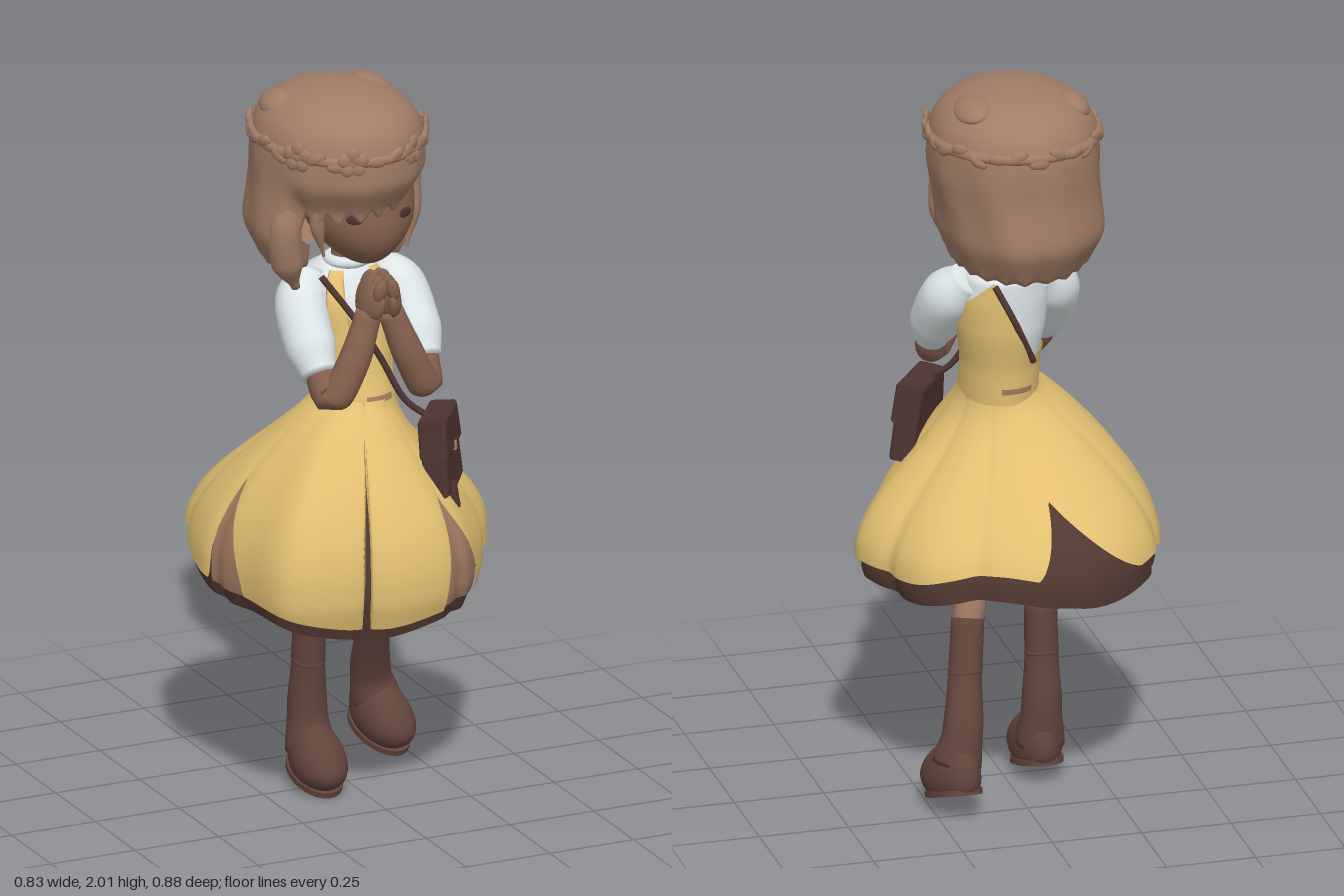
import * as THREE from 'three';

const mat = (name, color, side = THREE.FrontSide) =>
  Object.assign(new THREE.MeshStandardMaterial({ color, side }), { name });
const V = (x, y, z) => new THREE.Vector3(x, y, z);
const { clamp, lerp, smoothstep } = THREE.MathUtils;
const TAU = Math.PI * 2;

// Surface through rows of points; columns run counterclockwise, rows run upward
function grid(cols, rows, wrap, fn) {
  const pos = [], idx = [], n = wrap ? cols : cols + 1;
  for (let j = 0; j <= rows; j++)
    for (let i = 0; i < n; i++) pos.push(...fn(i / cols, j / rows).toArray());
  for (let j = 0; j < rows; j++)
    for (let i = 0; i < cols; i++) {
      const a = j * n + i, b = j * n + (i + 1) % n;
      idx.push(a, b, a + n, b, b + n, a + n);
    }
  const g = new THREE.BufferGeometry();
  g.setAttribute('position', new THREE.Float32BufferAttribute(pos, 3));
  g.setIndex(idx);
  g.computeVertexNormals();
  return g;
}

// Closed round limb with a varying radius along a smooth path
function limb(points, radii, n = 20) {
  const c = new THREE.CatmullRomCurve3(points.map(p => V(...p)));
  const f = c.computeFrenetFrames(n), k = radii.length - 1;
  return grid(18, n + 2, true, (u, v) => {
    const j = Math.round(v * (n + 2)), m = clamp(j - 1, 0, n), t = m / n;
    const s = Math.min(Math.floor(t * k), k - 1);
    const r = j === 0 || j === n + 2 ? 0.001 : lerp(radii[s], radii[s + 1], smoothstep(t * k - s, 0, 1));
    const a = u * TAU;
    return c.getPoint(t).addScaledVector(f.normals[m], r * Math.cos(a)).addScaledVector(f.binormals[m], r * Math.sin(a));
  });
}
const ball = (rx, ry, rz, w = 24, h = 16) => new THREE.SphereGeometry(1, w, h).scale(rx, ry, rz);
const turn = (a, b) => Math.atan2(Math.sin(a - b), Math.cos(a - b));

// Skirt shape: waist ellipse blended into an irregular hem outline
const hemRadii = [.44, .425, .38, .37, .41, .395, .42, .415, .455, .475, .46, .43, .42, .42, .485, .445];
const hemCurve = new THREE.CatmullRomCurve3(hemRadii.map((r, i) => {
  const a = i * Math.PI / 8;
  return V(r * Math.sin(a), 0, r * Math.cos(a));
}), true, 'catmullrom');
const notches = [ // angle, width on either side, top height, edge curve
  [-2.99, .2, .53, .9, 1.35], [.36, .13, .33, .9, .8], [-1.5, .06, .33, .93, .85], [-.31, .02, .02, 1.02, .6]];
const grooves = [-2.99, .4, -1.5, -.31, 1.2, 1.95, 2.7, -2.1];
const skirtHem = a => .6 - .05 * Math.cos(a) + .014 * Math.sin(5 * a);
function skirtPoint(a, y, off = 0) {
  const t = clamp((1.13 - y) / .51, 0, 1), s = Math.sin(a), c = Math.cos(a);
  const f = Math.pow(Math.sin(Math.min(1, t * 1.14) * Math.PI / 2), 1.4 + .45 * s - .4 * c);
  const h = hemCurve.getPoint(((a / TAU) % 1 + 1) % 1);
  const p = V(lerp(.105 * s, h.x, f), y, lerp(.05 + .13 * c, h.z, f));
  let d = off - Math.max(0, .64 - y) * .3;
  for (const g of grooves) d -= .014 * t * Math.exp(-((turn(a, g) / .08) ** 2));
  return p.add(V(s * d, 0, c * d));
}
function skirtTopLayer(a) {
  let y = skirtHem(a) + .055 - .02 * Math.cos(a);
  for (const [n, before, after, top, curve] of notches) {
    const d = turn(a, n), k = 1 - (d > 0 ? d / after : -d / before);
    if (k > 0) y = Math.max(y, lerp(y, top, Math.pow(k, curve)));
  }
  return y;
}

// Torso rings: height, half width, half depth, centre z
const rings = [[1.1, .1, .13, .05], [1.2, .1, .115, .03], [1.3, .117, .115, .01], [1.4, .125, .11, 0], [1.47, .105, .09, -.02], [1.51, .03, .03, -.01]];
function torsoPoint(a, y, off = 0) {
  let i = 0;
  while (i < rings.length - 2 && y > rings[i + 1][0]) i++;
  const k = clamp((y - rings[i][0]) / (rings[i + 1][0] - rings[i][0]), 0, 1);
  const [, rx, rz, cz] = rings[i].map((q, j) => lerp(q, rings[i + 1][j], k));
  return V((rx + off) * Math.sin(a), y, cz + (rz + off) * Math.cos(a));
}
// Bodice edge: bib and two straps in front, one slanting panel at the back
function bodiceTop(a) {
  const d = Math.abs(turn(a, 0));
  if (d < .4) return 1.36;
  if (d < .85) return 1.48;
  if (a < 1.4) return 1.29;
  if (a < 2.65) return lerp(1.33, 1.47, (a - 1.4) / 1.25);
  return a < 3.8 ? lerp(1.47, 1.22, (a - 2.65) / 1.15) : 1.24;
}

// Hair shell: flat dome, bob curling in at the back, open at the face
function hairPoint(a, v) {
  const zig = Math.abs(((a * 3.2) % 1 + 1) % 1 - .5) * 2;
  const open = smoothstep(a, -1.2, -.95) * (1 - smoothstep(a, 1.1, 1.35));
  const low = lerp(1.5 + .012 * zig, 1.672 + .035 * zig + .02 * Math.sin(a), open);
  const k = clamp((v - .08) / .92, 0, 1), y = lerp(low, 2, Math.sin(k * Math.PI / 2));
  const t = Math.max(0, (y - 1.72) / .28);
  let r = Math.sqrt(Math.max(0, 1 - t ** 5)) * (1 + .012 * Math.sin(a * 9 + y * 9) * (1 - t));
  r += (.06 * smoothstep(1.76 - y, 0, .16) - .2 * smoothstep(1.62 - y, 0, .13)) * (1 - open);
  r -= .18 * smoothstep(1.79 - y, 0, .11) * open;
  if (v < .08) r *= lerp(open > .5 ? .92 : .6, 1, v / .08);
  const narrow = Math.sin(a) > 0 ? 1 - .16 * smoothstep(1.8 - y, 0, .2) : 1;
  return V(-.03 + .232 * r * narrow * Math.sin(a), y, .265 * r * Math.cos(a));
}

export function createModel() {
  const model = new THREE.Group();
  const yellow = mat('dressYellow', 0xe2bf71, THREE.DoubleSide);
  const dark = mat('underskirtBrown', 0x523932, THREE.DoubleSide);
  const hair = mat('hairBrown', 0xa27c66, THREE.DoubleSide);
  const tan = mat('liningTan', 0xa27a62, THREE.DoubleSide);
  const skin = mat('skinBrown', 0x86614e);
  const boot = mat('bootBrown', 0x61443b);
  const leather = mat('bagBrown', 0x4c3330);
  const white = mat('blouseWhite', 0xe0e8ea);
  const teal = mat('bloomersTeal', 0x86b4bf);
  const add = (name, geo, m, p = [0, 0, 0], r = [0, 0, 0], parent = model) => {
    const o = new THREE.Mesh(geo, m);
    o.name = name;
    o.position.set(...p);
    o.rotation.set(...r);
    parent.add(o);
  };
  const group = (name, p, r, parent = model) => {
    const g = new THREE.Group();
    g.name = name;
    g.position.set(...p);
    g.rotation.set(...r);
    parent.add(g);
    return g;
  };

  // Skirt layers
  add('skirt', grid(480, 24, true, (u, v) => skirtPoint(u * TAU, lerp(skirtTopLayer(u * TAU), 1.14, v))), yellow);
  add('underskirt', grid(240, 24, true, (u, v) => skirtPoint(u * TAU, lerp(skirtHem(u * TAU), 1.13, v), -.016)), dark);
  for (const [a, before, after, top] of notches.slice(1, 3))
    add('skirtLining', grid(28, 18, false, (u, v) => {
      const q = lerp(a - before, a + after, u);
      return skirtPoint(q, lerp(skirtHem(q) + .045, top, v), -.007);
    }), tan);

  // Torso, bodice and belt
  add('blouse', grid(48, 20, true, (u, v) => torsoPoint(u * TAU, lerp(1.1, 1.51, v))), white);
  add('bodice', grid(180, 14, true, (u, v) => torsoPoint(u * TAU, lerp(1.1, bodiceTop(u * TAU), v), .007)), yellow);
  for (const [from, to] of [[-.2, .55], [2.9, 3.7]])
    add('belt', grid(12, 2, false, (u, v) => torsoPoint(lerp(from, to, u), 1.135 + .016 * v, .013)), tan);
  add('collar', new THREE.TorusGeometry(.05, .016, 10, 28).rotateX(Math.PI / 2), white, [0, 1.495, 0]);
  add('neck', new THREE.CylinderGeometry(.04, .045, .12, 20), skin, [0, 1.53, 0]);
  add('backBand', limb([[.05, 1.46, -.108], [0, 1.36, -.117], [-.065, 1.22, -.077]], [.009, .009, .009]), dark);

  // Mirrored arms and pressed hands
  for (const s of [1, -1]) {
    add('sleeve', limb([[s * .1, 1.46, -.02], [s * .145, 1.4, .02], [s * .158, 1.3, .1], [s * .155, 1.23, .16]], [.05, .073, .07, .05]), white);
    add('arm', limb([[s * .155, 1.25, .15], [s * .14, 1.175, .2], [s * .085, 1.27, .215], [s * .03, 1.41, .205]], [.042, .046, .044, .036]), skin);
    add('hand', ball(.032, .07, .058), skin, [s * .026, 1.445, .2], [.1, 0, s * .15]);
    for (let i = 0; i < 4; i++)
      add('finger', ball(.019, .034, .017, 12, 8), skin, [s * .019, 1.492 - Math.abs(i - 1) * .006, .17 + i * .027], [.15, 0, s * .25]);
    add('thumb', ball(.014, .035, .014, 12, 8), skin, [s * .02, 1.43, .25], [.3, 0, s * .2]);
  }

  // Bloomers, legs and boots
  add('bloomers', ball(.15, .12, .13), teal, [0, .8, -.02]);
  const legs = [
    { path: [[-.09, .78, 0], [-.1, .6, -.01], [-.1, .45, -.02]], shaft: [[-.1, .495, -.022], [-.1, .35, -.032], [-.097, .2, -.045], [-.095, .09, -.03]], foot: [-.095, .078, .008], rot: [.26, -.05, 0] },
    { path: [[.08, .78, -.02], [.1, .6, -.06], [.13, .45, -.1]], shaft: [[.122, .495, -.09], [.145, .36, -.145], [.17, .22, -.21], [.19, .13, -.22]], foot: [.195, .092, -.195], rot: [.36, .14, 0] }];
  const footShape = ball(.078, .09, .128, 28, 20), fp = footShape.attributes.position;
  for (let i = 0; i < fp.count; i++) {
    const z = fp.getZ(i) / .128;
    fp.setX(i, fp.getX(i) * (.92 + .12 * z));
    fp.setY(i, Math.max(-.05, fp.getY(i) * (1 - .25 * z)));
  }
  footShape.computeVertexNormals();
  const soleShape = new THREE.CylinderGeometry(1, 1, .016, 28).scale(.07, 1, .115);
  for (const l of legs) {
    const [hip] = l.path;
    add('leg', limb(l.path, [.058, .046, .04]), tan);
    add('bloomerLeg', limb([hip, [hip[0] * 1.03, .67, hip[2] - .015]], [.085, .075], 6), teal);
    add('bootShaft', limb(l.shaft, [.045, .046, .055, .068]), boot);
    add('bootCrease', new THREE.TorusGeometry(.042, .006, 8, 24).rotateX(Math.PI / 2), boot, l.shaft[1], [l.rot[0], 0, 0]);
    const foot = group('bootFoot', l.foot, l.rot);
    add('bootUpper', footShape, boot, [0, 0, 0], [0, 0, 0], foot);
    add('bootSole', soleShape, boot, [0, -.05, .002], [0, 0, 0], foot);
  }

  // Head, narrowing to a forward chin
  const face = ball(.155, .17, .165, 32, 24), q = face.attributes.position;
  for (let i = 0; i < q.count; i++) {
    const k = Math.max(0, -q.getY(i) / .17);
    q.setX(i, q.getX(i) * (1 - .3 * k * k));
    q.setZ(i, q.getZ(i) + .04 * k);
  }
  face.computeVertexNormals();
  add('face', face, skin, [.015, 1.675, .03]);
  for (const s of [1, -1])
    add('eye', ball(.024, .014, .004, 16, 10), leather, [.015 + s * .075, 1.668, .178], [0, s * .45, 0]);

  // Hair, side locks, crown bumps
  add('hair', grid(180, 40, true, (u, v) => hairPoint((u - .5) * TAU, v)), hair);
  add('longLock', limb([[-.2, 1.75, .08], [-.222, 1.63, .08], [-.212, 1.54, .07], [-.18, 1.455, .06]], [.03, .045, .045, .012]), hair);
  add('innerLock', limb([[-.15, 1.76, .15], [-.155, 1.66, .14], [-.13, 1.56, .13]], [.02, .02, .004]), hair);
  add('shortLock', limb([[.16, 1.76, .07], [.16, 1.64, .07], [.14, 1.53, .08]], [.024, .026, .005]), hair);
  add('crownBump', ball(.045, .03, .065), hair, [-.185, 1.95, -.055], [0, 0, .55]);
  add('crownBump', ball(.05, .025, .085), hair, [.1, 1.962, -.05], [0, 0, -.35]);

  // Flower wreath
  const wreath = group('wreath', [-.03, 1.87, 0], [.05, 0, 0]);
  add('vine', new THREE.TorusGeometry(1, .06, 8, 64).rotateX(Math.PI / 2).scale(.226, .25, .254), hair, [0, 0, 0], [0, 0, 0], wreath);
  for (let i = 0; i < 26; i++) {
    const a = i / 26 * TAU;
    add('leaf', ball(.03, .016, .01, 10, 8), hair, [.232 * Math.sin(a), .012 * Math.sin(i * 2.3), .261 * Math.cos(a)], [0, a, .5 * Math.sin(i * 1.7)], wreath);
  }
  for (const a of [-.3, .55, 1.15, -.95]) {
    const flower = group('flower', [.234 * Math.sin(a), .002, .262 * Math.cos(a)], [0, a, 0], wreath);
    for (let i = 0; i < 5; i++) {
      const b = i / 5 * TAU;
      add('petal', ball(.02, .02, .009, 12, 8), hair, [.024 * Math.sin(b), .024 * Math.cos(b), 0], [0, 0, 0], flower);
    }
  }

  // Shoulder bag with flap, clasp, tassel and strap
  const bag = group('bag', [.18, .985, .208], [-.1, .94, 0]);
  bag.rotation.order = 'YXZ';
  const panel = (w, h, d) => {
    const s = new THREE.Shape();
    s.moveTo(-w * .42, h / 2).lineTo(w * .42, h / 2).lineTo(w / 2, -h / 2).quadraticCurveTo(0, -h * .6, -w / 2, -h / 2).closePath();
    return new THREE.ExtrudeGeometry(s, { depth: d, bevelSize: .012, bevelThickness: .012, bevelSegments: 4 }).translate(0, 0, -d / 2);
  };
  add('bagBody', panel(.19, .18, .045), leather, [0, -.005, 0], [0, 0, 0], bag);
  add('bagFlap', panel(.185, .085, .055), leather, [0, .055, .002], [0, 0, 0], bag);
  add('bagClasp', new THREE.BoxGeometry(.014, .024, .009), tan, [0, .01, .042], [0, 0, 0], bag);
  add('bagTassel', limb([[-.04, -.08, .02], [-.045, -.12, .02], [-.045, -.15, .02]], [.025, .028, .03]), leather, [0, 0, 0], [0, 0, 0], bag);
  add('bagStrap', limb([[-.1, 1.47, .05], [-.04, 1.37, .125], [.03, 1.25, .15], [.09, 1.13, .18], [.15, 1.08, .21]], [.009, .009, .009, .009, .009], 30), leather);
  return model;
}
